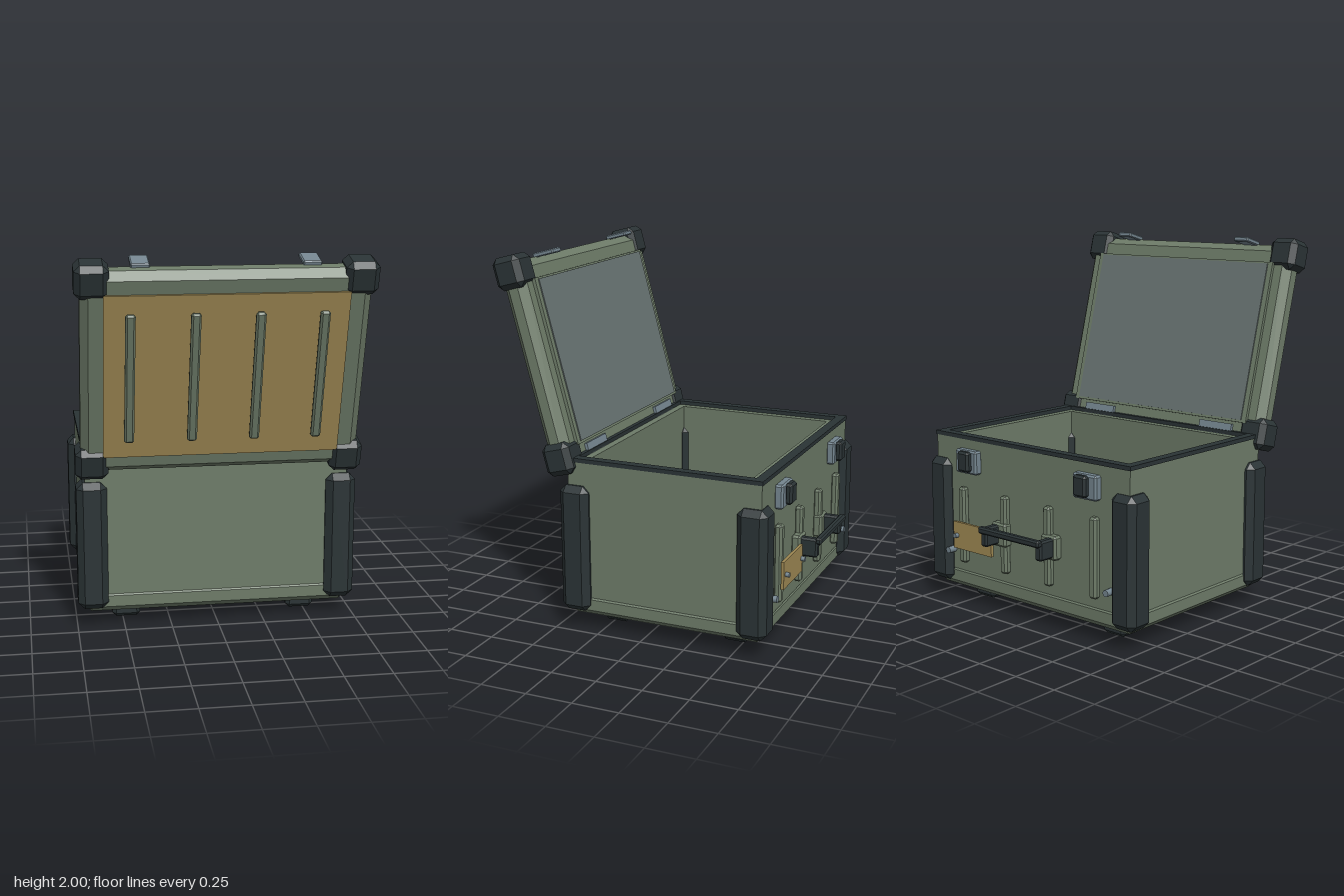
import * as THREE from 'three';
import { ConvexGeometry } from 'three/addons/geometries/ConvexGeometry.js';

const mat = (color) => new THREE.MeshStandardMaterial({ color });
const GREEN = mat(0x6d7b68), DARK = mat(0x2a3335), TAN = mat(0xa08a54);
const STEEL = mat(0x74858f), LINING = mat(0x687372);

// Box between min and max corners, all edges chamfered by c
function block(parent, name, material, [x0, x1], [y0, y1], [z0, z1], c = 0) {
  const h = [(x1 - x0) / 2, (y1 - y0) / 2, (z1 - z0) / 2];
  let geo;
  if (c > 0) {
    const pts = [];
    for (const sx of [-1, 1]) for (const sy of [-1, 1]) for (const sz of [-1, 1])
      for (let full = 0; full < 3; full++) {
        const d = h.map((v, i) => (i === full ? v : v - c));
        pts.push(new THREE.Vector3(sx * d[0], sy * d[1], sz * d[2]));
      }
    geo = new ConvexGeometry(pts);
  } else geo = new THREE.BoxGeometry(h[0] * 2, h[1] * 2, h[2] * 2);
  const mesh = new THREE.Mesh(geo, material);
  mesh.position.set((x0 + x1) / 2, (y0 + y1) / 2, (z0 + z1) / 2);
  mesh.name = name;
  parent.add(mesh);
  return mesh;
}

const around = (centre, size) => [centre - size / 2, centre + size / 2];

// Rectangular ring standing upright from y0 to y1, centred on z = zc
function ring(parent, name, material, hx, hz, wall, y0, y1, zc) {
  const rect = (P, a, b) => new P([[-a, -b], [a, -b], [a, b], [-a, b]].map(([x, y]) => new THREE.Vector2(x, y)));
  const shape = rect(THREE.Shape, hx, hz);
  shape.holes.push(rect(THREE.Path, hx - wall, hz - wall));
  const geo = new THREE.ExtrudeGeometry(shape, { depth: y1 - y0, bevelEnabled: false });
  geo.rotateX(-Math.PI / 2);
  const mesh = new THREE.Mesh(geo, material);
  mesh.position.set(0, y0, zc);
  mesh.name = name;
  parent.add(mesh);
}

// Round stud pointing along z
function stud(parent, name, material, x, y, z0, z1, r) {
  const geo = new THREE.CylinderGeometry(r, r, z1 - z0, 12);
  geo.rotateX(Math.PI / 2);
  const mesh = new THREE.Mesh(geo, material);
  mesh.position.set(x, y, (z0 + z1) / 2);
  mesh.name = name;
  parent.add(mesh);
}

const RIBS = [-0.48, -0.16, 0.16, 0.48];

function buildBody() {
  const body = new THREE.Group();
  body.name = 'body';
  const zc = -0.11;

  // Tray, walls, rim and floor
  block(body, 'baseTray', GREEN, [-0.705, 0.705], [0.08, 0.2], [-0.655, 0.435], 0.03);
  ring(body, 'walls', GREEN, 0.7, 0.542, 0.088, 0.18, 0.925, zc);
  ring(body, 'rimSeal', DARK, 0.705, 0.547, 0.052, 0.925, 0.947, zc);
  block(body, 'floorLining', LINING, [-0.62, 0.62], [0.19, 0.205], [-0.58, 0.36]);
  block(body, 'floorRib', GREEN, [-0.018, 0.018], [0.2, 0.225], [-0.5, 0.28], 0.008);

  // Corner guards and feet
  for (const s of [-1, 1]) {
    for (const z of [0.39, -0.607]) {
      block(body, 'cornerGuard', DARK, around(s * 0.665, 0.16), [0.105, 0.8], around(z, 0.165), 0.034);
    }
    for (const z of [0.238, -0.455]) {
      block(body, 'foot', DARK, around(s * 0.48, 0.15), [0, 0.095], around(z, 0.147), 0.02);
    }
    // Latches and studs on the back wall
    block(body, 'latchPlate', STEEL, around(s * 0.432, 0.16), [0.745, 0.875], [-0.695, -0.645], 0.01);
    block(body, 'latchLever', DARK, around(s * 0.425, 0.085), [0.76, 0.872], [-0.727, -0.685], 0.012);
    stud(body, 'wallStud', STEEL, s * 0.58, 0.29, -0.7, -0.65, 0.018);
  }

  // Vertical ribs on the back wall
  for (const x of RIBS) block(body, 'backRib', GREEN, around(x, 0.05), [0.235, 0.66], [-0.69, -0.645], 0.012);

  // Carrying handle
  const handle = new THREE.Group();
  handle.name = 'handle';
  for (const s of [-1, 1]) {
    block(handle, 'handleBase', GREEN, around(s * 0.183, 0.11), [0.385, 0.515], [-0.7, -0.645], 0.012);
    block(handle, 'handleArm', DARK, around(s * 0.2, 0.046), [0.4, 0.505], [-0.79, -0.665], 0.01);
  }
  block(handle, 'handleGrip', DARK, [-0.222, 0.222], [0.475, 0.512], [-0.812, -0.775], 0.009);
  body.add(handle);

  // Blank tag plate with two screws
  block(body, 'tagPlate', TAN, [0.225, 0.52], [0.32, 0.47], [-0.71, -0.694]);
  for (const x of [0.24, 0.49]) stud(body, 'tagScrew', STEEL, x, 0.395, -0.732, -0.69, 0.013);
  return body;
}

function buildLid() {
  // Local y runs up the open lid, local z points out of its outer face
  const lid = new THREE.Group();
  lid.name = 'lid';
  lid.rotation.x = THREE.MathUtils.degToRad(15);

  block(lid, 'lidShell', GREEN, [-0.722, 0.722], [0.975, 2.07], [0.148, 0.282], 0.04);
  block(lid, 'lidLip', GREEN, [-0.63, 0.63], [1.07, 1.965], [0.13, 0.16]);
  block(lid, 'lidLining', LINING, [-0.6, 0.6], [1.083, 1.956], [0.124, 0.16]);
  block(lid, 'lidPanel', TAN, [-0.61, 0.61], [1.075, 1.96], [0.265, 0.294]);
  for (const x of RIBS) block(lid, 'lidRib', GREEN, around(x, 0.05), [1.176, 1.875], [0.306, 0.337], 0.01);

  for (const s of [-1, 1]) {
    for (const y of [1.025, 2.022]) {
      block(lid, 'lidCorner', DARK, around(s * 0.665, 0.17), around(y, 0.172), around(0.218, 0.163), 0.03);
    }
    block(lid, 'latchTongue', STEEL, around(s * 0.425, 0.095), [2.064, 2.09], [0.08, 0.205], 0.006);
    block(lid, 'hingePlate', STEEL, around(s * 0.43, 0.22), [0.96, 1.055], [0.132, 0.165]);
  }
  return lid;
}

export function createModel() {
  const model = new THREE.Group();
  model.name = 'openCase';
  model.add(buildBody(), buildLid());
  return model;
}
